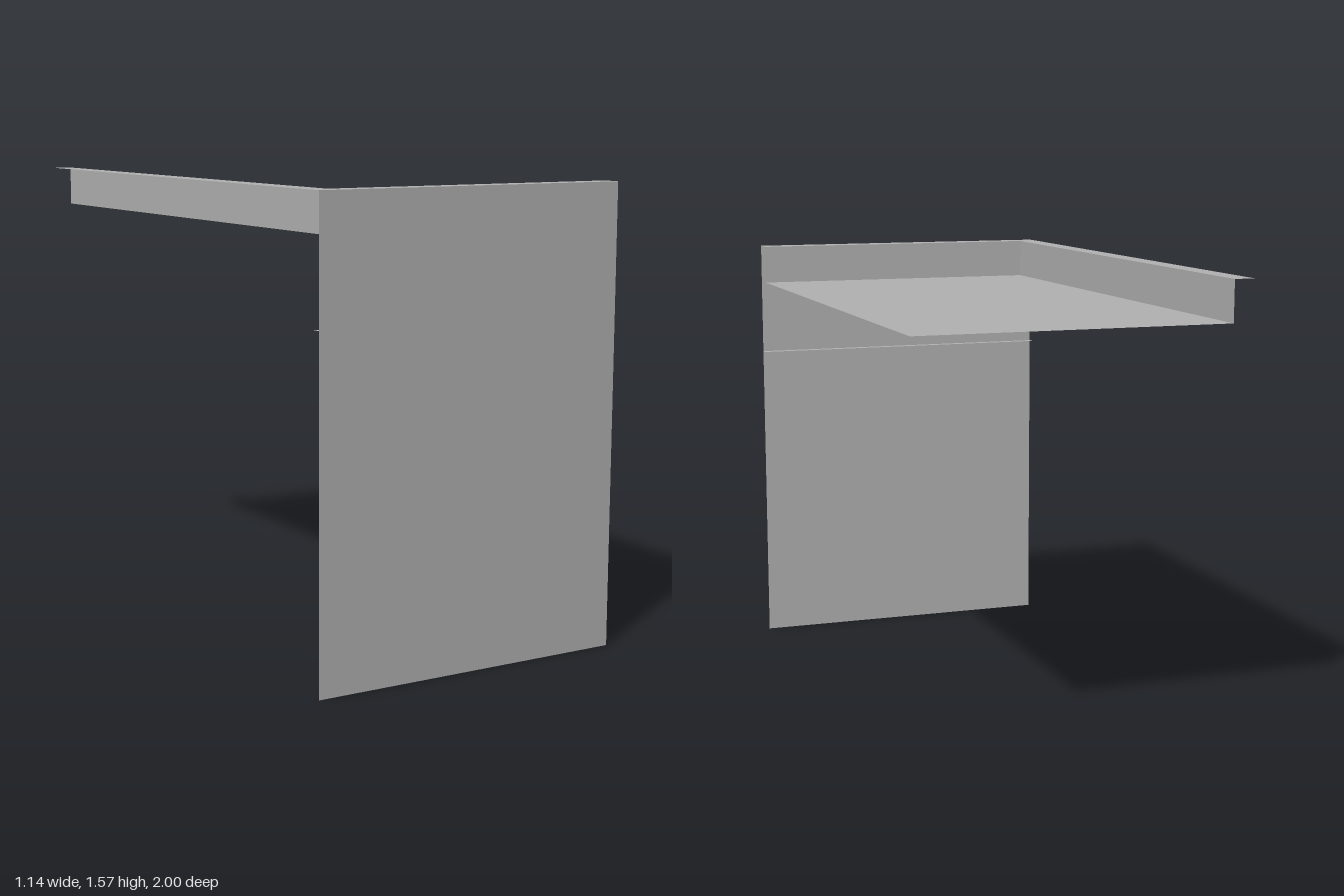
import * as THREE from 'three';

const W = 0.57;        // half width
const TOP = 1.57;      // top of the parapet
const DECK = 1.43;     // roof surface
const RIM = 0.07;      // parapet thickness
const LEDGE = 1.15;    // height of the thin ledge

export function createModel() {
  const group = new THREE.Group();
  const grey = new THREE.MeshStandardMaterial({ color: 0xb2b2b2, side: THREE.DoubleSide });
  grey.name = 'light grey';

  const add = (name, geometry) => {
    const mesh = new THREE.Mesh(geometry, grey);
    mesh.name = name;
    group.add(mesh);
  };
  // Sheet standing across x at depth z; facing 1 is front, -1 is back
  const wall = (x0, x1, y0, y1, z, facing) =>
    new THREE.PlaneGeometry(x1 - x0, y1 - y0)
      .rotateY(facing > 0 ? 0 : Math.PI)
      .translate((x0 + x1) / 2, (y0 + y1) / 2, z);
  // Sheet lying flat, facing up
  const floor = (x0, x1, z0, z1, y) =>
    new THREE.PlaneGeometry(x1 - x0, z1 - z0)
      .rotateX(-Math.PI / 2)
      .translate((x0 + x1) / 2, y, (z0 + z1) / 2);

  add('frontWall', wall(-W, W, 0, TOP, 1, 1));
  add('roofDeck', floor(-W + RIM, W, -1, 1 - RIM, DECK));
  add('wallLedge', floor(-W, W, 0.97, 1, LEDGE));

  // Inner faces of the parapet
  add('frontParapetInside', wall(-W + RIM, W, DECK, TOP, 1 - RIM, -1));
  add('sideParapetInside', new THREE.PlaneGeometry(2 - RIM, TOP - DECK)
    .rotateY(Math.PI / 2)
    .translate(-W + RIM, (DECK + TOP) / 2, -RIM / 2));

  // L-shaped parapet top, drawn with shape y = -z
  const cap = new THREE.Shape([
    [-W, -1], [W, -1], [W, RIM - 1], [RIM - W, RIM - 1], [RIM - W, 1], [-W, 1],
  ].map(([x, y]) => new THREE.Vector2(x, y)));
  add('parapetTop', new THREE.ShapeGeometry(cap).rotateX(-Math.PI / 2).translate(0, TOP, 0));

  return group;
}
